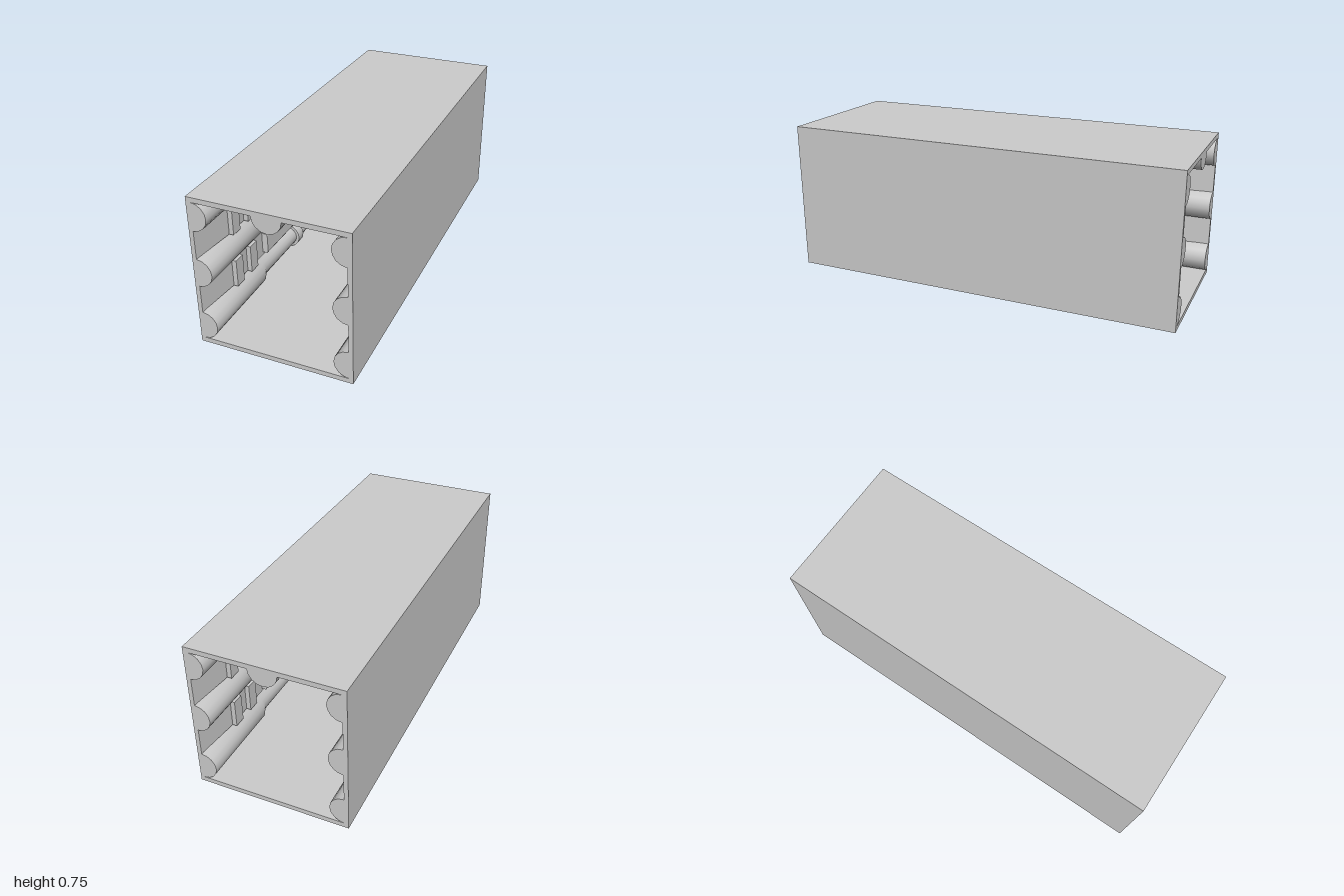
import * as THREE from 'three';
import { toCreasedNormals } from 'three/addons/utils/BufferGeometryUtils.js';

const W = 0.375, H = 0.753, T = 0.022, INNER = 0.354;
const FLOOR = 0.024, CEILING = 0.729;
const grey = new THREE.MeshStandardMaterial({ color: 0xcccccc });

function mesh(name, geometry) {
  const m = new THREE.Mesh(geometry, grey);
  m.name = name;
  return m;
}

function box(name, x0, x1, y0, y1, z0, z1) {
  const m = mesh(name, new THREE.BoxGeometry(x1 - x0, y1 - y0, z1 - z0));
  m.position.set((x0 + x1) / 2, (y0 + y1) / 2, (z0 + z1) / 2);
  return m;
}

// Square tube, open at both ends
function shellGeometry() {
  const shape = new THREE.Shape([
    new THREE.Vector2(-W, 0), new THREE.Vector2(W, 0),
    new THREE.Vector2(W, H), new THREE.Vector2(-W, H)]);
  shape.holes.push(new THREE.Path([
    new THREE.Vector2(-INNER, FLOOR), new THREE.Vector2(-INNER, CEILING),
    new THREE.Vector2(INNER, CEILING), new THREE.Vector2(INNER, FLOOR)]));
  return new THREE.ExtrudeGeometry(shape, { depth: 2, bevelEnabled: false }).translate(0, 0, -1);
}

// Half-round pipe along z, bulging to +x: thick sleeves at the ends, slim middle with two collars
function pipeGeometry() {
  const half = [[0, 1], [0.07, 1], [0.07, 0.55], [0.05, 0.51],
    [0.05, 0.18], [0.065, 0.18], [0.065, 0.13], [0.05, 0.13]];
  const profile = [...half.map(([r, z]) => [r, -z]), ...half.slice().reverse()];
  const g = new THREE.LatheGeometry(
    profile.map(([r, z]) => new THREE.Vector2(r, z)), 8, 0, Math.PI);
  return toCreasedNormals(g.rotateX(Math.PI / 2), 0.6);
}

// Raised strip along z, standing out to +x and ramping down to nothing at both ends
function stripGeometry(edge, depth, chamfer) {
  const w = 0.07;
  const shape = new THREE.Shape([[0, -w], [edge, -w], [depth, -w + chamfer],
    [depth, w - chamfer], [edge, w], [0, w]].map(([x, y]) => new THREE.Vector2(x, y)));
  const g = new THREE.ExtrudeGeometry(shape, { depth: 2, steps: 18, bevelEnabled: false })
    .translate(0, 0, -1);
  const p = g.attributes.position;
  for (let i = 0; i < p.count; i++) {
    const rise = Math.min(1, (1 - Math.abs(p.getZ(i))) / 0.222);
    p.setX(i, p.getX(i) * rise);
  }
  g.computeVertexNormals();
  return g;
}

// Wall panel with ribs near both ends and a long chamfered box in the middle
function wallPanel() {
  const g = new THREE.Group();
  g.name = 'wallPanel';
  g.add(mesh('panelStrip', stripGeometry(0.0235, 0.024, 0.001)));
  for (const side of [-1, 1]) {
    for (const z of [0.74, 0.61]) {
      g.add(box('panelRib', 0.02, 0.047, -0.07, 0.07, side * z - 0.03, side * z + 0.03));
    }
  }
  const h = 0.054;
  const shape = new THREE.Shape([[0.02, -h], [0.048, -h], [0.054, -h + 0.01],
    [0.054, h - 0.01], [0.048, h], [0.02, h]].map(([x, y]) => new THREE.Vector2(x, y)));
  g.add(mesh('panelBox', new THREE.ExtrudeGeometry(shape, { depth: 0.98, bevelEnabled: false })
    .translate(0, 0, -0.49)));
  return g;
}

function place(object, x, y, angle) {
  object.position.set(x, y, 0);
  object.rotation.z = angle;
  return object;
}

export function createModel() {
  const model = new THREE.Group();
  model.name = 'corridor';
  model.add(mesh('shell', shellGeometry()));

  // Side walls: three pipes with two panels between them
  const pipe = pipeGeometry();
  for (const side of [-1, 1]) {
    const angle = side < 0 ? 0 : Math.PI;
    for (const y of [0.095, 0.377, 0.659]) {
      model.add(place(mesh('wallPipe', pipe), side * INNER, y, angle));
    }
    for (const y of [0.237, 0.518]) {
      model.add(place(wallPanel(), side * INNER, y, angle));
    }
  }

  // Ceiling: one pipe between two strips
  model.add(place(mesh('ceilingPipe', pipe), 0, CEILING, -Math.PI / 2));
  const strip = stripGeometry(0.022, 0.031, 0.03);
  for (const side of [-1, 1]) {
    model.add(place(mesh('ceilingStrip', strip), side * 0.14, CEILING, -Math.PI / 2));
  }

  // Upright block just above the floor
  model.add(box('block', 0, 0.117, 0.032, 0.265, 0, 0.117));
  return model;
}
